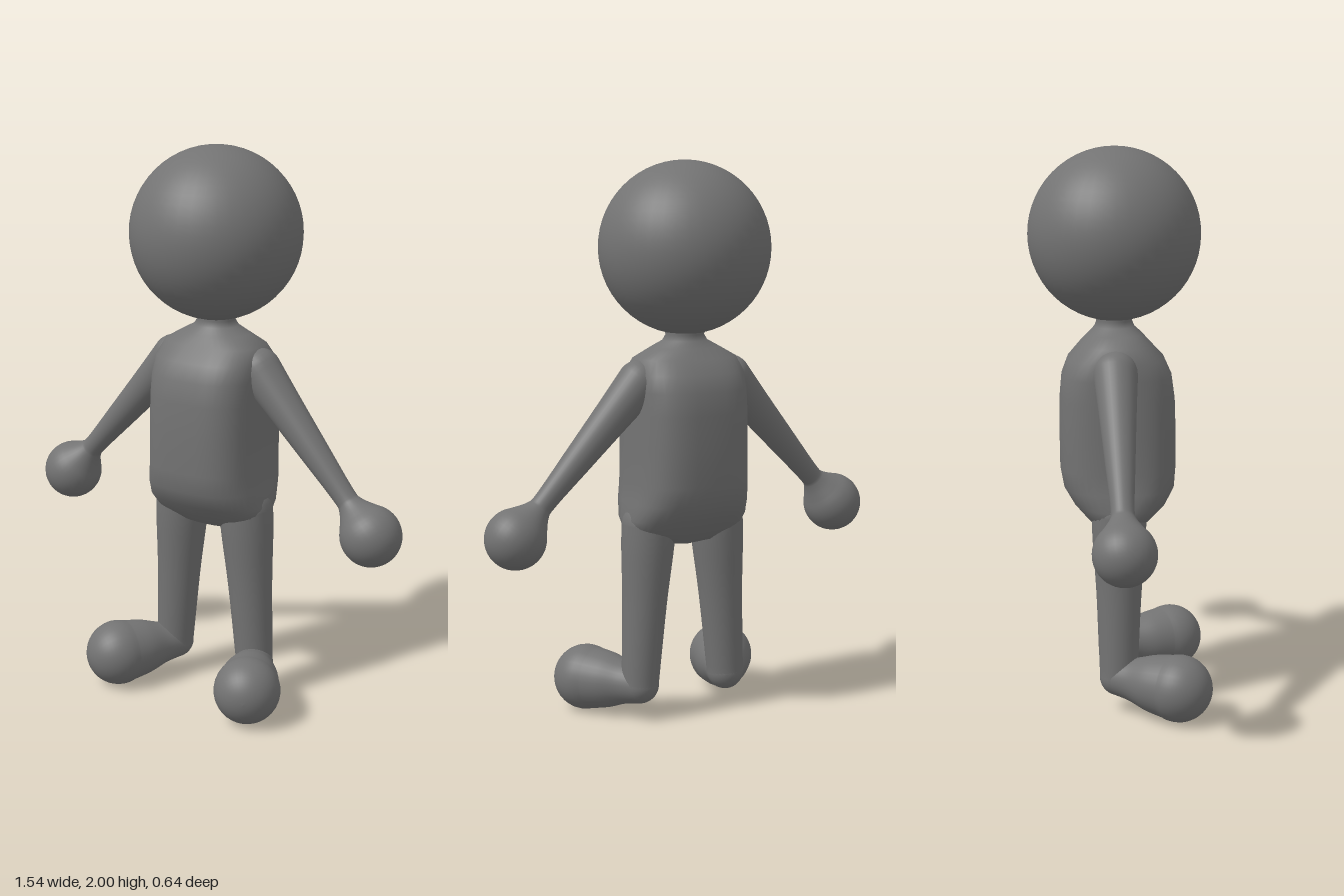
import * as THREE from 'three';

const grey = new THREE.MeshStandardMaterial({ color: 0x737373 });
grey.name = 'matte grey';

function addMesh(group, name, geometry) {
  const mesh = new THREE.Mesh(geometry, grey);
  mesh.name = name;
  group.add(mesh);
  return mesh;
}

// Round limb from a to b: rounded start, smooth [distance, radius] middle, ball end.
function limb(group, name, a, b, rStart, middle, rEnd, arcStart) {
  const start = new THREE.Vector3(...a);
  const dir = new THREE.Vector3(...b).sub(start);
  const length = dir.length();
  const points = [];
  for (let i = 0; i < 8; i++) {
    const t = (i / 8 - 1) * Math.PI / 2;
    points.push(new THREE.Vector2(Math.max(0, rStart * Math.cos(t)), rStart * Math.sin(t)));
  }
  const arc = (t) => new THREE.Vector2(Math.max(0, rEnd * Math.cos(t)), length + rEnd * Math.sin(t));
  const shaft = new THREE.SplineCurve([
    new THREE.Vector2(rStart, 0),
    ...middle.map(([d, r]) => new THREE.Vector2(r, d)),
    arc(arcStart),
  ]);
  points.push(...shaft.getPoints(24));
  for (let i = 1; i <= 16; i++) {
    points.push(arc(arcStart + (Math.PI / 2 - arcStart) * i / 16));
  }
  const mesh = addMesh(group, name, new THREE.LatheGeometry(points, 32));
  mesh.position.copy(start);
  mesh.quaternion.setFromUnitVectors(new THREE.Vector3(0, 1, 0), dir.normalize());
}

// Torso lofted through rows of [y, half width, front z, back z, squareness].
function torsoGeometry() {
  const rows = [
    [0.635, 0.03, 0.03, -0.04, 2],
    [0.65, 0.15, 0.07, -0.08, 2.2],
    [0.69, 0.225, 0.115, -0.12, 2.4],
    [0.74, 0.232, 0.165, -0.165, 2.6],
    [0.80, 0.219, 0.195, -0.2, 2.9],
    [0.87, 0.21, 0.2, -0.213, 3],
    [1.0, 0.208, 0.2, -0.215, 3],
    [1.12, 0.207, 0.196, -0.214, 3],
    [1.2, 0.207, 0.185, -0.207, 2.9],
    [1.26, 0.207, 0.158, -0.185, 2.7],
    [1.31, 0.19, 0.11, -0.143, 2.5],
    [1.345, 0.13, 0.08, -0.112, 2.2],
    [1.37, 0.083, 0.053, -0.09, 2],
    [1.39, 0.07, 0.045, -0.082, 2],
    [1.43, 0.08, 0.05, -0.09, 2],
  ];
  const sides = 40;
  const positions = [];
  const indices = [];
  rows.forEach(([y, w, front, back, n], j) => {
    for (let i = 0; i < sides; i++) {
      const t = (i / sides) * Math.PI * 2;
      const c = Math.cos(t), s = Math.sin(t);
      const x = w * Math.sign(c) * Math.abs(c) ** (2 / n);
      const z = (front + back) / 2 + (front - back) / 2 * Math.sign(s) * Math.abs(s) ** (2 / n);
      positions.push(x, y, z);
      if (j < rows.length - 1) {
        const p = j * sides + i, q = j * sides + (i + 1) % sides;
        indices.push(p, p + sides, q, q, p + sides, q + sides);
      }
    }
  });
  // Close the underside
  const centre = positions.length / 3;
  positions.push(0, 0.633, -0.005);
  for (let i = 0; i < sides; i++) indices.push(centre, i, (i + 1) % sides);
  const geometry = new THREE.BufferGeometry();
  geometry.setAttribute('position', new THREE.Float32BufferAttribute(positions, 3));
  geometry.setIndex(indices);
  geometry.computeVertexNormals();
  return geometry;
}

export function createModel() {
  const model = new THREE.Group();
  model.name = 'figure';

  addMesh(model, 'head', new THREE.SphereGeometry(0.305, 40, 28)).position.set(0, 1.695, -0.018);
  addMesh(model, 'torso', torsoGeometry());

  for (const [side, s] of [['left', 1], ['right', -1]]) {
    // Arm tapering to the wrist, then swelling into a ball hand
    limb(model, side + 'Arm', [s * 0.185, 1.23, -0.018], [s * 0.66, 0.717, 0], 0.078,
      [[0.15, 0.066], [0.35, 0.052], [0.53, 0.04], [0.575, 0.046]], 0.108, -0.75);
    // Leg ending in a rounded heel
    limb(model, side + 'Leg', [s * 0.14, 0.72, -0.005], [s * 0.18, 0.128, -0.007], 0.098,
      [[0.1, 0.094], [0.3, 0.08]], 0.068, -0.1);
    // Foot turned outward with a ball toe
    limb(model, side + 'Foot', [s * 0.18, 0.127, -0.007], [s * 0.29, 0.12, 0.203], 0.068,
      [[0.06, 0.078], [0.13, 0.1]], 0.119, -0.35);
  }
  return model;
}
